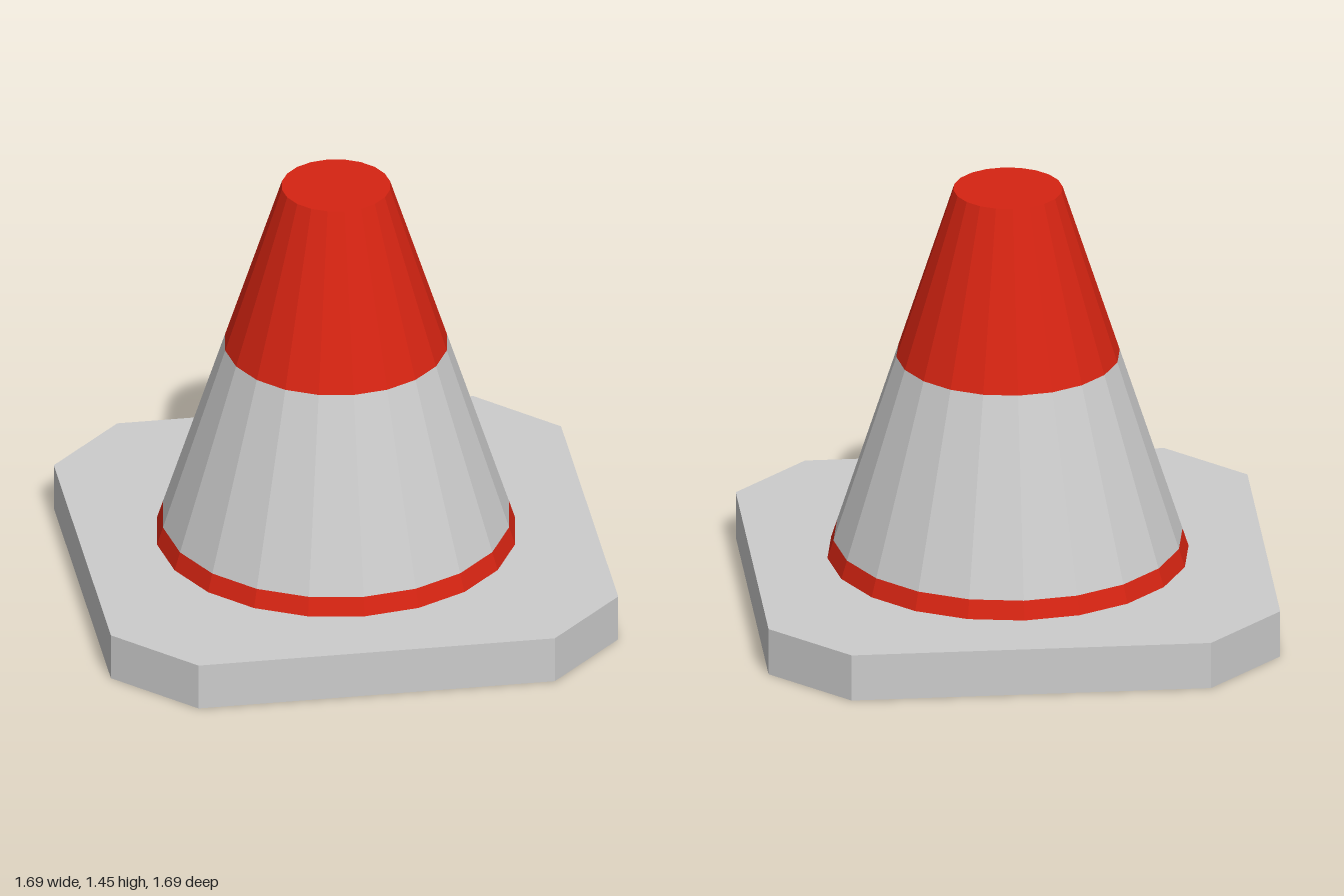
import * as THREE from 'three';

const SIDES = 20;
const BASE_TOP = 0.16, CONE_TOP = 1.45;

// Cone radius at a given height
const radiusAt = (y) => THREE.MathUtils.mapLinear(y, BASE_TOP, CONE_TOP, 0.595, 0.18);

export function createModel() {
  const model = new THREE.Group();
  model.name = 'trafficCone';
  const grey = new THREE.MeshStandardMaterial({ color: 0xcccccc, flatShading: true });
  const red = new THREE.MeshStandardMaterial({ color: 0xd62412, flatShading: true });

  const add = (name, geometry, material) => {
    const mesh = new THREE.Mesh(geometry, material);
    mesh.name = name;
    model.add(mesh);
    return mesh;
  };

  // Square foot plate with cut corners
  const h = 0.843, c = 0.592;
  const outline = new THREE.Shape([
    [h, -c], [h, c], [c, h], [-c, h], [-h, c], [-h, -c], [-c, -h], [c, -h],
  ].map(([x, y]) => new THREE.Vector2(x, y)));
  const plate = new THREE.ExtrudeGeometry(outline, { depth: BASE_TOP, bevelEnabled: false });
  plate.rotateX(-Math.PI / 2);
  add('basePlate', plate, grey);

  // Coloured bands stacked up the cone; the last one is closed on top
  const bands = [
    ['lowerBand', BASE_TOP, 0.222, red],
    ['reflectiveBand', 0.222, 0.865, grey],
    ['upperBand', 0.865, CONE_TOP, red],
  ];
  for (const [name, y0, y1, material] of bands) {
    const profile = [y0, y1].map((y) => new THREE.Vector2(radiusAt(y), y));
    if (y1 === CONE_TOP) profile.push(new THREE.Vector2(0, y1));
    add(name, new THREE.LatheGeometry(profile, SIDES), material);
  }
  return model;
}
